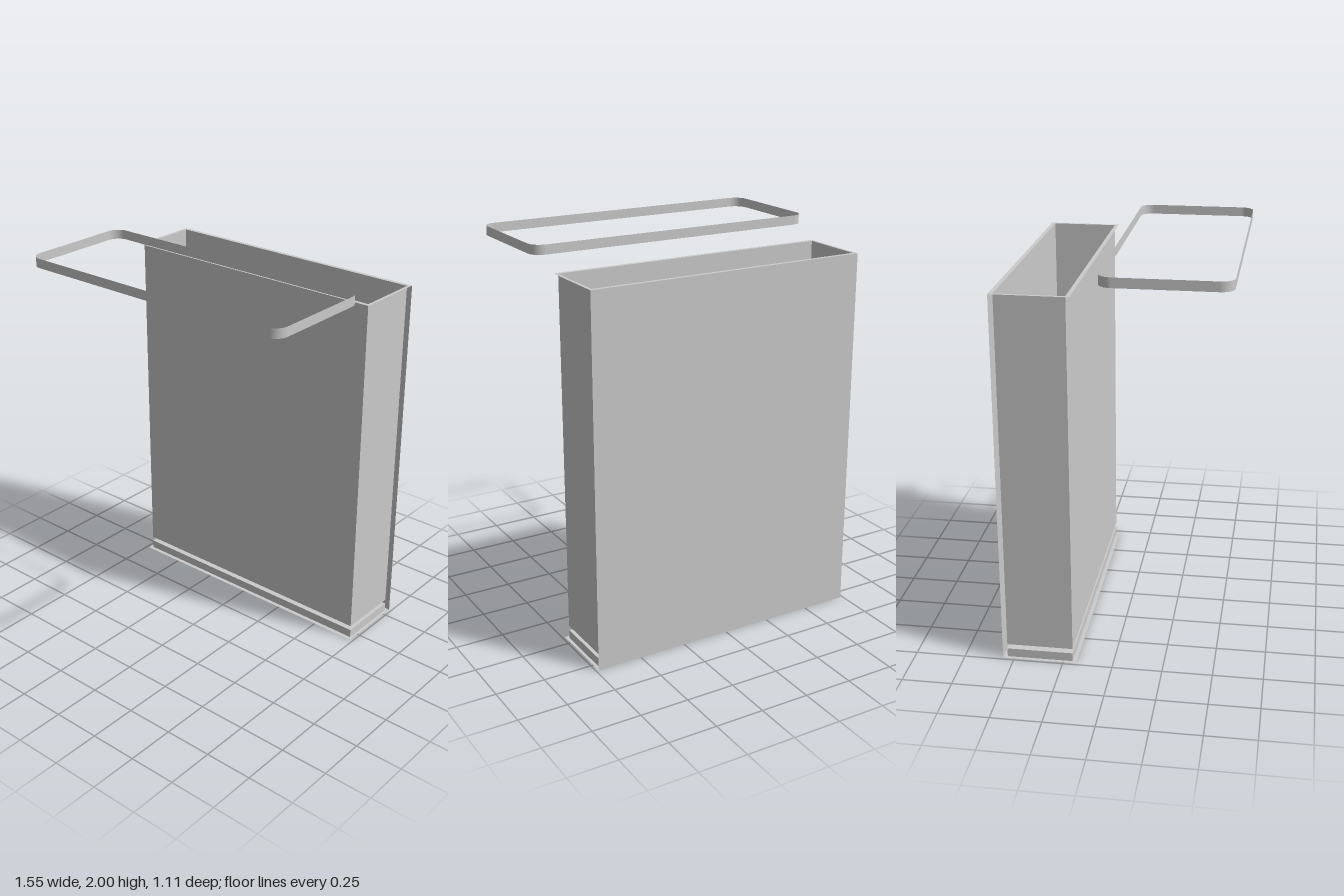
import * as THREE from 'three';

const sheet = new THREE.MeshStandardMaterial({ color: 0xcccccc, side: THREE.DoubleSide });

// Shared footprint of the trays and of their rims
const W = 1.44, D = 0.333, Z = -0.37;
const RIM_W = 1.472, RIM_D = 0.374;
const TOP = 1.892;

function add(parent, name, geometry) {
  const mesh = new THREE.Mesh(geometry, sheet);
  mesh.name = name;
  parent.add(mesh);
  return mesh;
}

function rectangle(Type, w, h) {
  return new Type([[-1, -1], [1, -1], [1, 1], [-1, 1]]
    .map(([x, y]) => new THREE.Vector2(x * w / 2, y * h / 2)));
}

// Thin-walled tray: flat rim at rimY, four walls, closed end at endY
function tray(name, rimY, endY) {
  const group = new THREE.Group();
  group.name = name;
  group.position.z = Z;
  const h = Math.abs(rimY - endY), midY = (rimY + endY) / 2;

  for (const s of [1, -1]) {
    const long = add(group, s > 0 ? 'frontWall' : 'backWall', new THREE.PlaneGeometry(W, h));
    long.position.set(0, midY, s * D / 2);
    long.rotation.y = s > 0 ? 0 : Math.PI;
    const short = add(group, s > 0 ? 'leftWall' : 'rightWall', new THREE.PlaneGeometry(D, h));
    short.position.set(s * W / 2, midY, 0);
    short.rotation.y = s * Math.PI / 2;
  }

  const end = add(group, 'closedEnd', new THREE.PlaneGeometry(W, D));
  end.rotation.x = -Math.PI / 2;
  end.position.y = endY;

  const frame = rectangle(THREE.Shape, RIM_W, RIM_D);
  frame.holes.push(rectangle(THREE.Path, W, D));
  const rim = add(group, 'rim', new THREE.ShapeGeometry(frame));
  rim.rotation.x = -Math.PI / 2;
  rim.position.y = rimY;
  return group;
}

// Upright band following a rounded rectangle, with smooth corners
function bandGeometry(w, d, h, r, steps = 10) {
  const outline = [];
  for (let c = 0; c < 4; c++) {
    const sx = c === 0 || c === 3 ? 1 : -1, sz = c < 2 ? 1 : -1;
    for (let i = 0; i <= steps; i++) {
      const a = (c + i / steps) * Math.PI / 2;
      const nx = Math.cos(a), nz = Math.sin(a);
      outline.push({ x: sx * (w / 2 - r) + r * nx, z: sz * (d / 2 - r) + r * nz, nx, nz });
    }
  }
  outline.push(outline[0]);
  // Run the outline backwards so the faces point outwards
  outline.reverse();
  const n = outline.length;
  const geometry = new THREE.PlaneGeometry(1, h, n - 1, 1);
  const { position, normal } = geometry.attributes;
  for (let i = 0; i < position.count; i++) {
    const p = outline[i % n];
    position.setXYZ(i, p.x, position.getY(i), p.z);
    normal.setXYZ(i, p.nx, 0, p.nz);
  }
  return geometry;
}

export function createModel() {
  const model = new THREE.Group();
  model.name = 'container';

  // Deep tray open at the top, shallow tray open underneath
  model.add(tray('deepBin', TOP, 0.07));
  model.add(tray('baseTray', 0, 0.045));

  // Sheet joining the back edges of both rims
  const back = add(model, 'backPanel', new THREE.PlaneGeometry(RIM_W, TOP));
  back.rotation.y = Math.PI;
  back.position.set(0, TOP / 2, Z - RIM_D / 2);

  // Separate rounded hoop in front of the bin
  const hoop = add(model, 'hoop', bandGeometry(1.546, 0.609, 0.048, 0.065));
  hoop.position.set(0, 1.976, 0.249);

  return model;
}
